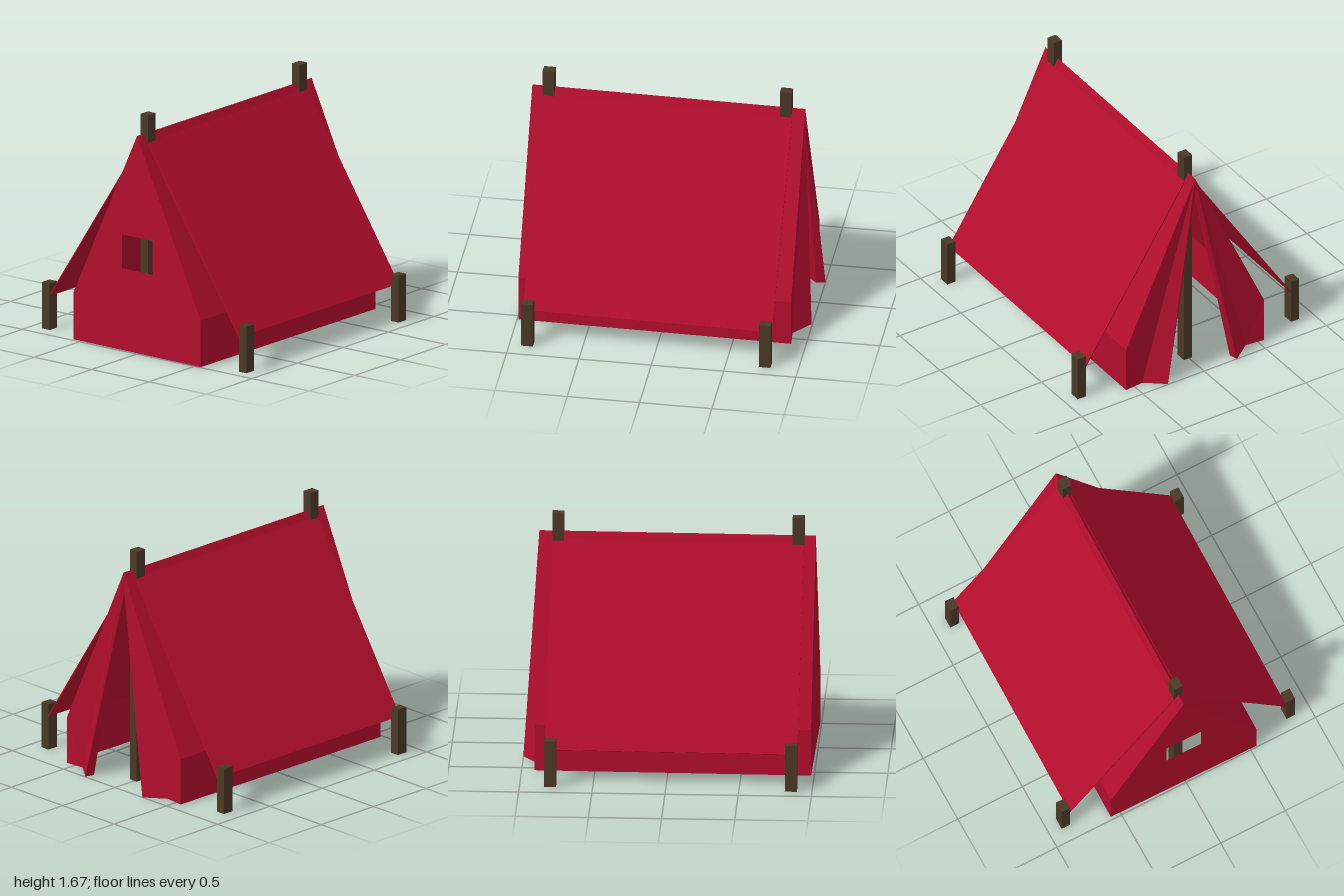
import * as THREE from 'three';

export function createModel() {
  const root = new THREE.Group();
  const tent = new THREE.Group();
  tent.name = 'tent';
  tent.rotation.y = -0.012; // pitched very slightly askew
  root.add(tent);

  const canvas = new THREE.MeshStandardMaterial({ color: 0xb20e2d, side: THREE.DoubleSide });
  canvas.name = 'red canvas';
  const wood = new THREE.MeshStandardMaterial({ color: 0x4a3826 });
  wood.name = 'dark wood';

  const W = 0.56, KNEE = 0.33, TOP = 1.54, FRONT = 0.985, BACK = -0.905;

  function add(name, geometry, material, x = 0, y = 0, z = 0) {
    const mesh = new THREE.Mesh(geometry, material);
    mesh.name = name;
    mesh.position.set(x, y, z);
    tent.add(mesh);
    return mesh;
  }

  // Flat cloth from triangles of points; side -1 mirrors it across x = 0
  function cloth(name, triangles, side) {
    const points = triangles.flatMap((t) => (side > 0 ? t : [t[0], t[2], t[1]]))
      .map(([x, y, z]) => new THREE.Vector3(x * side, y, z));
    const geometry = new THREE.BufferGeometry().setFromPoints(points);
    geometry.computeVertexNormals();
    add(name, geometry, canvas);
  }

  // Front wall with a window opening
  const wall = new THREE.Shape([[-W, 0], [W, 0], [W, KNEE], [0, TOP], [-W, KNEE]]
    .map(([x, y]) => new THREE.Vector2(x, y)));
  wall.holes.push(new THREE.Path([[-0.13, 0.58], [-0.13, 0.82], [0.135, 0.82], [0.135, 0.58]]
    .map(([x, y]) => new THREE.Vector2(x, y))));
  add('frontWall', new THREE.ShapeGeometry(wall), canvas, 0, 0, FRONT);

  for (const side of [1, -1]) {
    const label = side > 0 ? 'left' : 'right';

    // Low side wall and inner roof slope
    const a = [W, 0, FRONT], b = [W, 0, BACK], c = [W, KNEE, BACK], d = [W, KNEE, FRONT];
    const e = [0, TOP, BACK], f = [0, TOP, FRONT];
    cloth(label + 'SideWall', [[a, b, c], [a, c, d]], side);
    cloth(label + 'InnerRoof', [[d, c, e], [d, e, f]], side);

    // Back panel with a folded door flap pulled aside
    const fold = [0.42, 0, -0.89], peak = [0.28, 0, -0.998];
    const edge = [0.262, 0, -0.935], tuck = [0.36, 0, -0.84];
    const slit = [0, 1.39, -0.9];
    cloth(label + 'BackPanel', [[b, fold, c], [c, fold, e]], side);
    cloth(label + 'DoorFlap', [
      [fold, peak, e], [peak, edge, slit], [peak, slit, e], [edge, tuck, slit],
    ], side);

    // Outer fly sheet stretched from the ridge to the pegs
    const x0 = 0.025, y0 = 1.485, x1 = 0.832, y1 = 0.245;
    const length = Math.hypot(x1 - x0, y1 - y0);
    const fly = add(label + 'FlySheet', new THREE.BoxGeometry(length, 0.008, 1.725), canvas,
      side * (x0 + x1) / 2, (y0 + y1) / 2, 0.043);
    fly.rotation.z = side * Math.atan2(y1 - y0, x1 - x0);

    // Corner pegs
    for (const [end, z] of [['Front', 0.867], ['Back', -0.78]]) {
      add(label + end + 'Peg', new THREE.BoxGeometry(0.066, 0.33, 0.08), wood, side * 0.865, 0.165, z);
    }
  }

  // Ridge poles standing inside and poking through the top
  for (const [end, z] of [['front', 0.868], ['back', -0.775]]) {
    add(end + 'Pole', new THREE.BoxGeometry(0.066, 1.675, 0.08), wood, 0, 0.8375, z);
  }

  return root;
}
